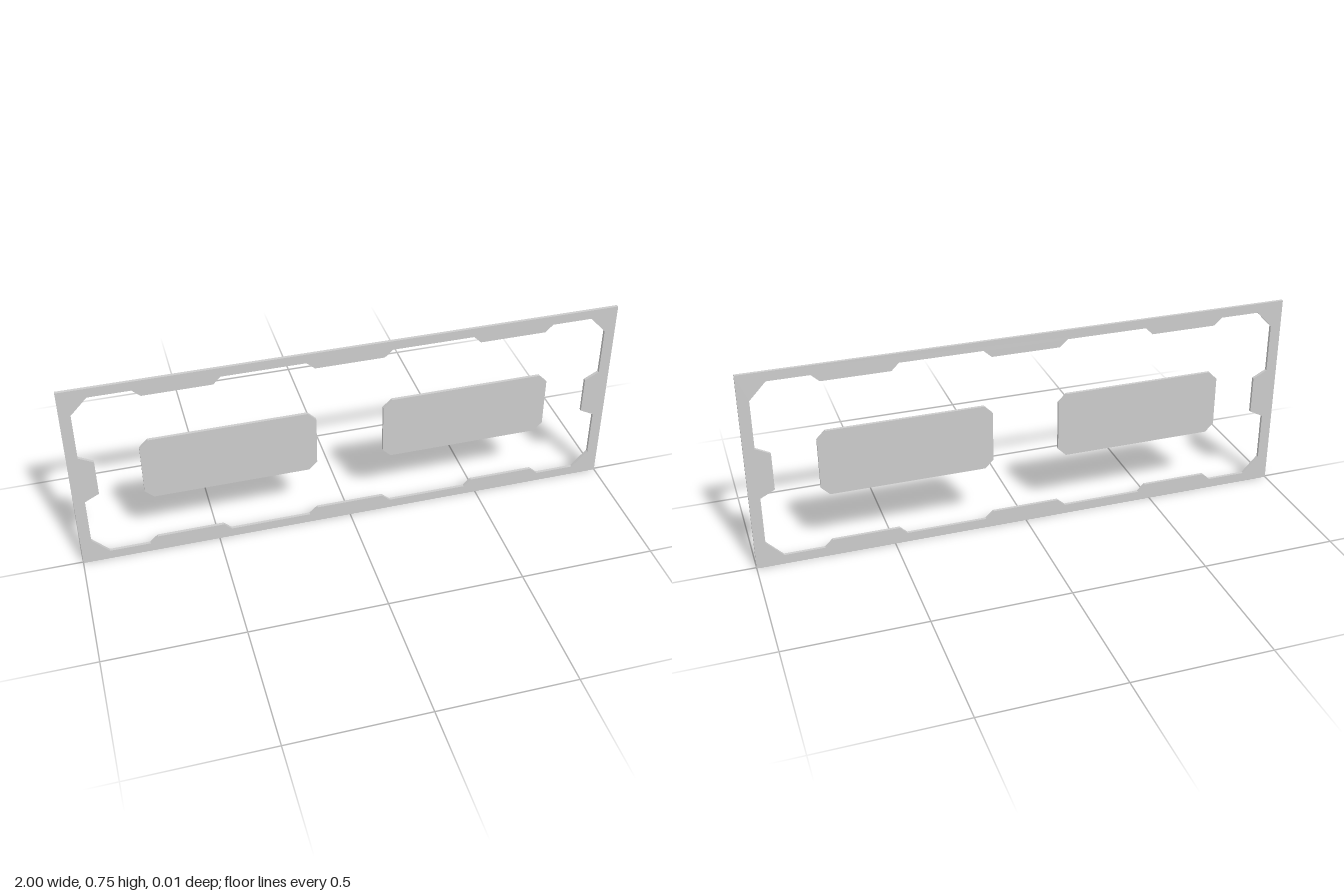
import * as THREE from 'three';

const HEIGHT = 0.75, DEPTH = 0.011;
const material = new THREE.MeshStandardMaterial({ color: 0xcccccc, flatShading: true });

// Flat sheet of even thickness, centred on z = 0
function sheet(name, shape) {
  const geometry = new THREE.ExtrudeGeometry(shape, { depth: DEPTH, bevelEnabled: false });
  geometry.translate(0, 0, -DEPTH / 2);
  const mesh = new THREE.Mesh(geometry, material);
  mesh.name = name;
  return mesh;
}

// Mirrors a quarter outline (from the x axis side to the top middle) into a full loop
function mirrored(quarter) {
  const flip = (pts, sx, sy) => pts.map(([x, y]) => new THREE.Vector2(x * sx, y * sy));
  const back = [...quarter].reverse();
  return [
    ...flip(quarter, 1, 1), ...flip(back, -1, 1),
    ...flip(quarter, -1, -1), ...flip(back, 1, -1),
  ];
}

export function createModel() {
  const model = new THREE.Group();
  model.name = 'framedPanel';

  // Rectangular frame whose opening has side tabs, cut corners and edge tabs
  const opening = [
    [0.908, 0.07], [0.96, 0.097], [0.96, 0.277], [0.9, 0.34],
    [0.753, 0.34], [0.724, 0.313], [0.48, 0.313], [0.453, 0.34],
    [0.155, 0.34], [0.125, 0.313],
  ];
  const frameShape = new THREE.Shape(mirrored([[1, HEIGHT / 2]]));
  frameShape.holes.push(new THREE.Path(mirrored(opening)));
  const frame = sheet('frame', frameShape);
  frame.position.y = HEIGHT / 2;
  model.add(frame);

  // Two inner plates with chamfered corners
  const w = 0.3135, h = 0.125, c = 0.031;
  const plateShape = new THREE.Shape(mirrored([[w, h - c], [w - c, h]]));
  for (const [side, name] of [[1, 'leftPlate'], [-1, 'rightPlate']]) {
    const plate = sheet(name, plateShape);
    plate.position.set(side * 0.4375, HEIGHT / 2, 0);
    model.add(plate);
  }
  return model;
}
